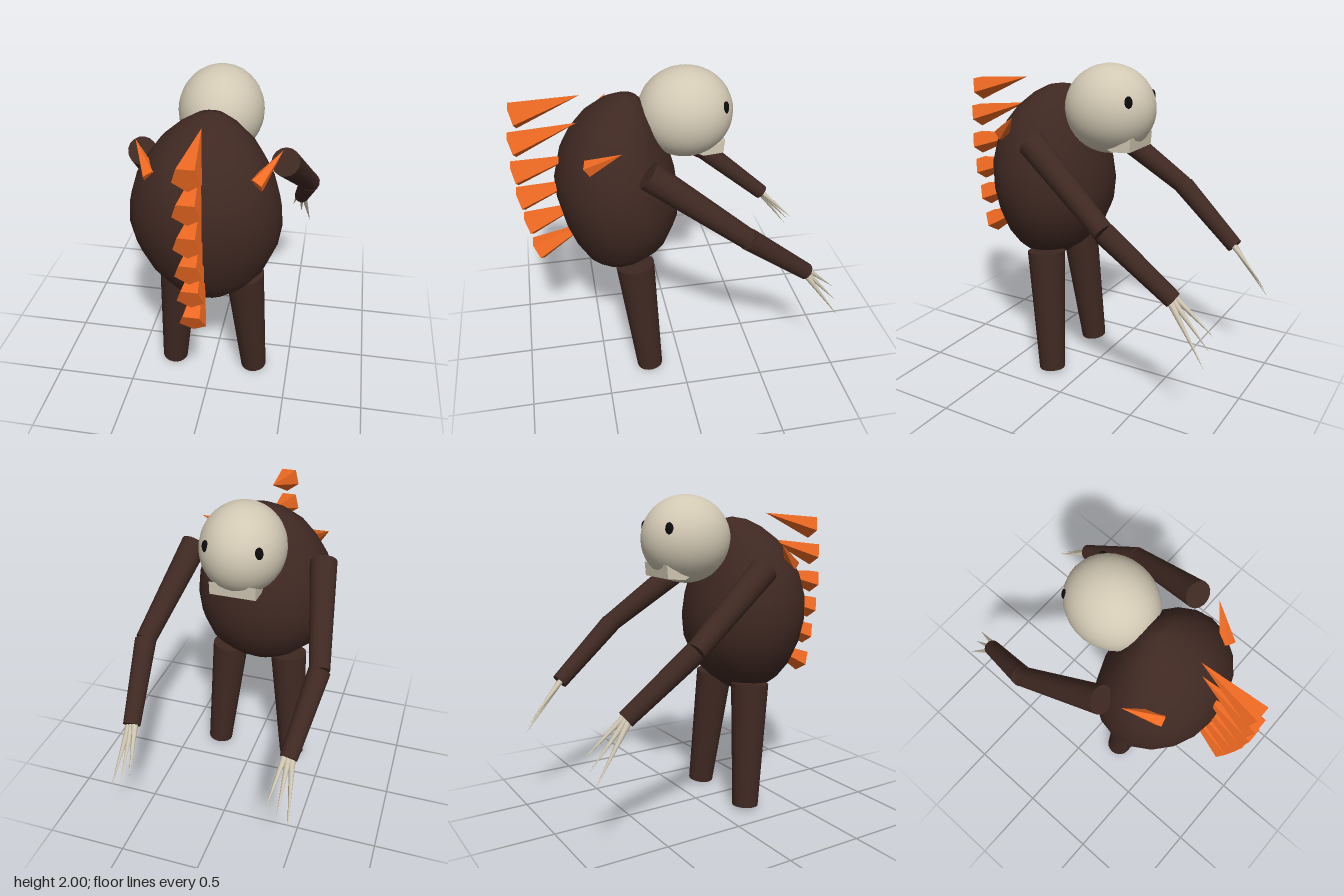
import * as THREE from 'three';
import { mergeVertices } from 'three/addons/utils/BufferGeometryUtils.js';

const V = (x, y, z) => new THREE.Vector3(x, y, z);
const mat = (color, flatShading = false) => new THREE.MeshStandardMaterial({ color, flatShading });

export function createModel() {
  const model = new THREE.Group();
  const fur = mat(0x3f2822), bone = mat(0xd2c9b4), orange = mat(0xf06a22, true), black = mat(0x0c0b0b);
  const boneFlat = mat(0xd2c9b4, true);

  function add(name, geometry, material) {
    const mesh = new THREE.Mesh(geometry, material);
    mesh.name = name;
    model.add(mesh);
    return mesh;
  }

  // Tapered cylinder running from point a to point b
  function limb(name, a, b, ra, rb, material, sides = 16) {
    const dir = b.clone().sub(a);
    const mesh = add(name, new THREE.CylinderGeometry(rb, ra, dir.length(), sides, 1, false, Math.PI), material);
    mesh.position.copy(a).add(b).multiplyScalar(0.5);
    mesh.quaternion.setFromUnitVectors(V(0, 1, 0), dir.normalize());
    return mesh;
  }

  // Hunched egg-shaped body: [height, half width, z of belly, z of back]
  const rings = [
    [0.705, 0.001, 0.41, 0.411], [0.75, 0.15, 0.25, 0.50], [0.83, 0.26, 0.14, 0.58],
    [0.93, 0.355, 0.04, 0.635], [1.08, 0.425, -0.02, 0.69], [1.22, 0.45, -0.03, 0.72],
    [1.36, 0.44, -0.01, 0.725], [1.50, 0.40, 0.03, 0.69], [1.62, 0.335, 0.08, 0.63],
    [1.72, 0.265, 0.12, 0.55], [1.80, 0.17, 0.17, 0.45], [1.845, 0.085, 0.21, 0.36],
    [1.86, 0.001, 0.27, 0.271],
  ];
  let body = new THREE.LatheGeometry(rings.map(([y, w]) => new THREE.Vector2(w, y)), 20);
  const p = body.attributes.position;
  for (let i = 0; i < p.count; i++) {
    const [y, w, belly, back] = rings[i % rings.length];
    p.setZ(i, (belly + back) / 2 + (p.getZ(i) / w) * (back - belly) / 2);
    p.setX(i, p.getX(i) - 0.02 * Math.sin(Math.PI * (y - 0.705) / 1.155));
  }
  body.deleteAttribute('uv');
  body.deleteAttribute('normal');
  body = mergeVertices(body, 1e-5);
  body.computeVertexNormals();
  add('body', body, fur);

  // Head
  const head = add('head', new THREE.SphereGeometry(1, 32, 20), bone);
  head.scale.set(0.257, 0.27, 0.285);
  head.position.set(0, 1.73, -0.073);

  // Wedge-shaped beak, extruded across the face
  const wedge = new THREE.Shape([
    [0.13, 1.51], [0.16, 1.495], [0.28, 1.505], [0.287, 1.59], [0.25, 1.565],
  ].map(([z, y]) => new THREE.Vector2(z, y)));
  const beak = add('beak', new THREE.ExtrudeGeometry(wedge, { depth: 0.28, bevelEnabled: false }), boneFlat);
  beak.rotation.y = Math.PI / 2;
  beak.position.x = -0.14;

  // Row of spikes down the back: [y, z of base centre, tilt in degrees]
  for (const [y, z, tilt] of [
    [1.783, 0.927, 14], [1.60, 0.95, 16], [1.41, 0.955, 14],
    [1.232, 0.94, 16], [1.05, 0.909, 19], [0.856, 0.869, 26],
  ]) {
    const t = THREE.MathUtils.degToRad(tilt);
    const base = V(0, y, z);
    limb('backSpike', base, base.clone().add(V(0, Math.sin(t), -Math.cos(t)).multiplyScalar(0.4)), 0.08, 0, orange, 5);
  }

  for (const s of [1, -1]) {
    const side = s > 0 ? 'left' : 'right';

    // Eye
    const eye = add(side + 'Eye', new THREE.SphereGeometry(1, 14, 10), black);
    eye.scale.set(0.026, 0.04, 0.018);
    eye.position.set(s * 0.156, 1.80, -0.278);
    eye.rotation.y = s * -0.65;

    // Shoulder spike
    limb(side + 'ShoulderSpike', V(s * 0.29, 1.565, 0.53), V(s * 0.415, 1.70, 0.355), 0.05, 0, orange, 5);

    // Leg
    limb(side + 'Leg', V(s * 0.272, 0.012, 0.21), V(s * 0.207, 0.808, 0.28), 0.083, 0.12, fur, 20);

    // Arm
    const shoulder = V(s * 0.42, 1.56, 0.217), elbow = V(s * 0.545, 1.147, -0.34), wrist = V(s * 0.48, 0.808, -0.745);
    limb(side + 'UpperArm', shoulder, elbow, 0.085, 0.062, fur);
    limb(side + 'Forearm', elbow, wrist, 0.066, 0.052, fur);

    // Three splayed claws
    [[0.41, 0.60], [0.475, 0.54], [0.545, 0.465]].forEach(([x, y], i) => {
      const k = i - 1;
      limb(side + 'Claw', V(s * (0.48 + k * 0.02), 0.815 - k * 0.012, -0.735), V(s * x, y, -0.973), 0.02, 0, bone, 8);
    });
  }
  return model;
}
